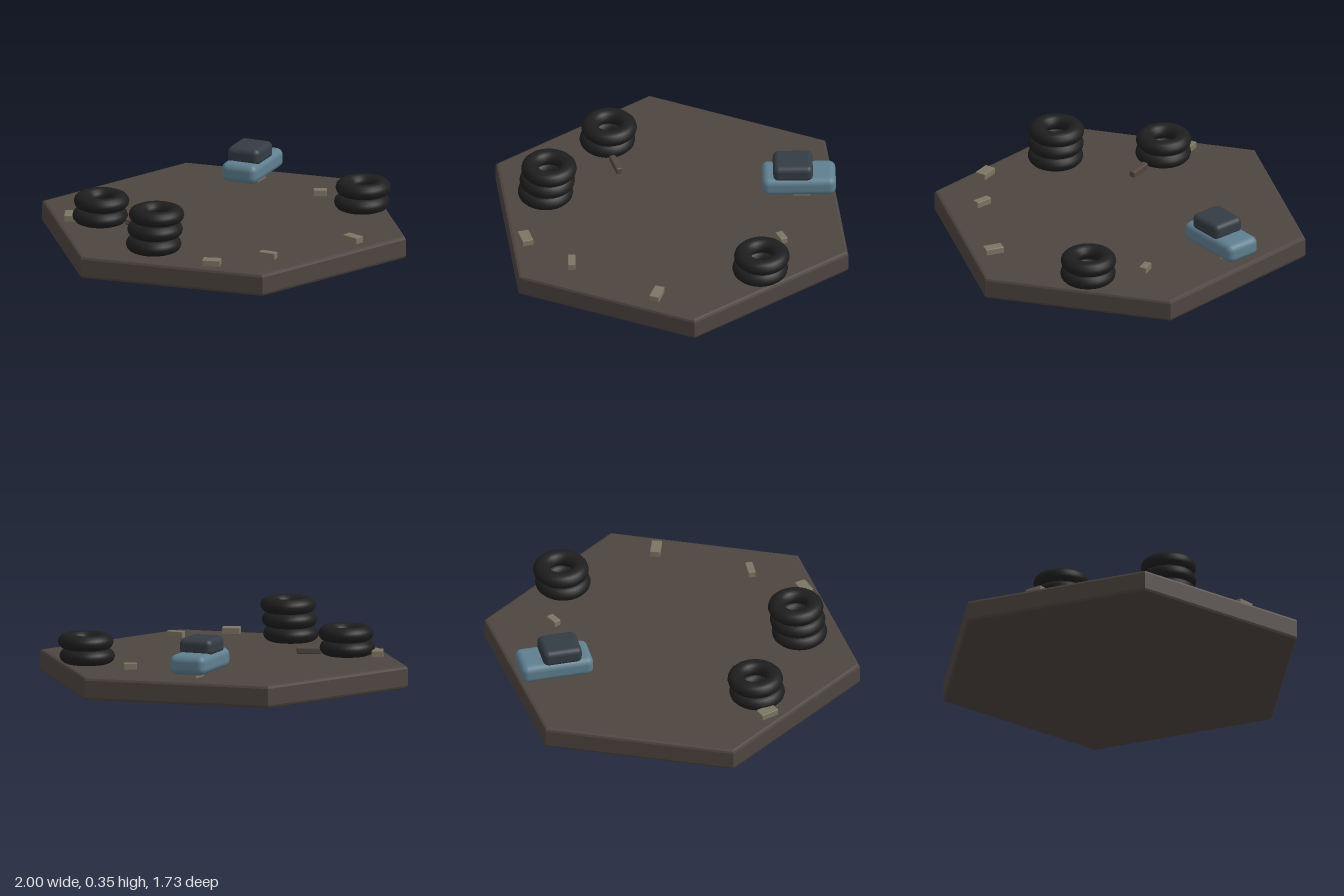
import * as THREE from 'three';
import { RoundedBoxGeometry } from 'three/addons/geometries/RoundedBoxGeometry.js';

const mat = (name, color) => Object.assign(new THREE.MeshStandardMaterial({ color }), { name });

export function createModel() {
  const ground = mat('ground brown', 0x4e4540);
  const rubber = mat('tyre black', 0x1e1e1e);
  const paint = mat('faded blue', 0x5f7f90);
  const glass = mat('dark cabin', 0x343c44);
  const stone = mat('rubble tan', 0x7d7463);
  const rust = mat('plank brown', 0x53473e);

  const model = new THREE.Group();
  model.name = 'scrapyardTile';
  const add = (parent, name, geometry, material, x, y, z, turn = 0) => {
    const mesh = new THREE.Mesh(geometry, material);
    mesh.name = name;
    mesh.position.set(x, y, z);
    mesh.rotation.y = turn;
    parent.add(mesh);
    return mesh;
  };

  // Hexagonal slab with a small bevel
  const top = 0.12, bevel = 0.016;
  const hex = new THREE.Shape();
  for (let i = 0; i < 6; i++) {
    const a = i * Math.PI / 3, r = 1 - bevel / Math.cos(Math.PI / 6);
    hex[i ? 'lineTo' : 'moveTo'](r * Math.cos(a), r * Math.sin(a));
  }
  hex.closePath();
  const slab = new THREE.ExtrudeGeometry(hex, {
    depth: top - 2 * bevel, bevelSize: bevel, bevelThickness: bevel, bevelSegments: 2
  });
  slab.rotateX(-Math.PI / 2);
  add(model, 'hexBase', slab, ground, 0, bevel, 0);

  // Stacks of tyres, each layer shifted slightly sideways
  const tyre = new THREE.TorusGeometry(0.1, 0.045, 14, 36);
  tyre.rotateX(Math.PI / 2);
  tyre.scale(1, 0.89, 1);
  for (const [x, z, count] of [[-0.643, 0.173, 3], [-0.528, -0.377, 2], [0.65, 0.35, 2]]) {
    const stack = new THREE.Group();
    stack.name = 'tyreStack';
    stack.position.set(x, top, z);
    for (let i = 0; i < count; i++) add(stack, 'tyre', tyre, rubber, i * 0.01, 0.04 + i * 0.077, 0);
    model.add(stack);
  }

  // Wrecked car without wheels
  const car = new THREE.Group();
  car.name = 'wreckedCar';
  car.position.set(0.548, 0, -0.396);
  car.rotation.y = 0.43;
  add(car, 'carBody', new RoundedBoxGeometry(0.387, 0.103, 0.2, 4, 0.036), paint, 0, 0.206, 0);
  add(car, 'carCabin', new RoundedBoxGeometry(0.207, 0.09, 0.182, 4, 0.03), glass, -0.03, 0.283, 0);
  model.add(car);

  // Scattered rubble: x, z, length, width, turn in degrees
  const rubble = [
    [-0.61, -0.52, 0.1, 0.06, 45],
    [0.57, -0.385, 0.09, 0.06, 20],
    [0.637, 0.037, 0.07, 0.04, -40],
    [-0.588, 0.567, 0.095, 0.06, -50],
    [-0.283, 0.667, 0.092, 0.04, -67],
    [0.235, 0.748, 0.1, 0.054, -85]
  ];
  for (const [x, z, l, w, deg] of rubble) {
    add(model, 'rubble', new RoundedBoxGeometry(l, 0.036, w, 1, 0.004), stone,
      x, top + 0.017, z, THREE.MathUtils.degToRad(deg));
  }

  // Short plank lying against the rear tyres
  add(model, 'plank', new RoundedBoxGeometry(0.13, 0.036, 0.034, 2, 0.008), rust,
    -0.41, top + 0.017, -0.213, -0.86);

  return model;
}
